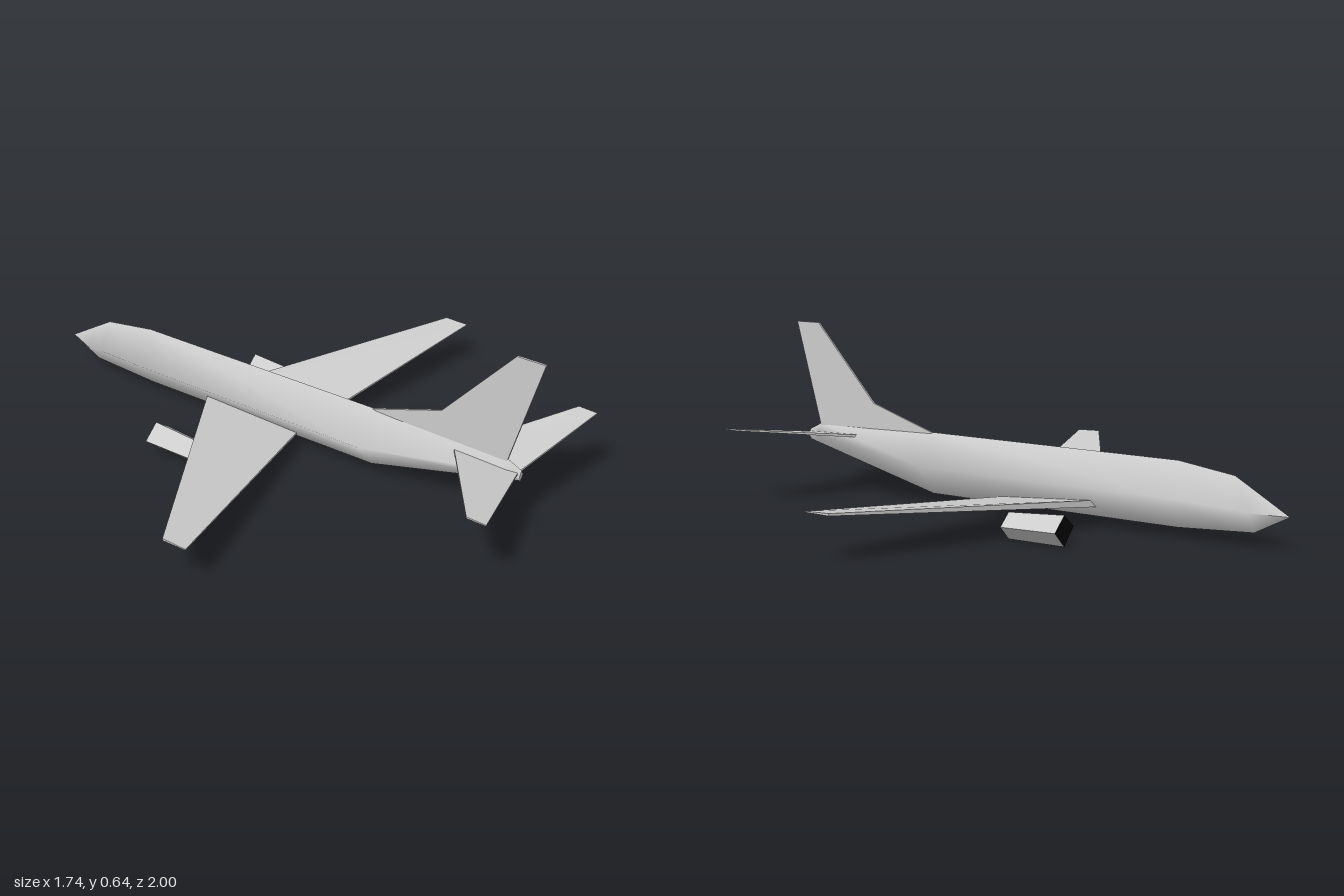
import * as THREE from 'three';

const grey = new THREE.MeshStandardMaterial({ color: 0xcccccc });
const facet = new THREE.MeshStandardMaterial({ color: 0xcccccc, flatShading: true });
const black = new THREE.MeshStandardMaterial({ color: 0x060606 });

// Skins a list of rings (counter-clockwise about the direction of travel), with optional end caps
function loft(rings, { smooth = false, caps = true } = {}) {
  const n = rings[0].length, pos = rings.flat(2), index = [];
  for (let i = 0; i < rings.length - 1; i++) {
    for (let j = 0; j < n; j++) {
      const a = i * n + j, b = i * n + (j + 1) % n;
      index.push(a, b, b + n, a, b + n, a + n);
    }
  }
  if (caps) {
    [[...rings[0]].reverse(), rings[rings.length - 1]].forEach((ring) => {
      const s = pos.length / 3;
      pos.push(...ring.flat());
      for (let j = 1; j < n - 1; j++) index.push(s, s + j, s + j + 1);
    });
  }
  let g = new THREE.BufferGeometry();
  g.setAttribute('position', new THREE.Float32BufferAttribute(pos, 3));
  g.setIndex(index);
  if (!smooth) g = g.toNonIndexed();
  g.computeVertexNormals();
  return g;
}

// Tapered plate across x; each section: [x, zLead, yLeadTop, yLeadBottom, zTrail, yTrailTop, yTrailBottom]
function plate(sections, side) {
  const rings = sections.map(([x, zl, lt, lb, zt, tt, tb]) => [
    [side * x, lt, zl], [side * x, tt, zt], [side * x, tb, zt], [side * x, lb, zl],
  ]);
  return loft(side > 0 ? rings : rings.reverse());
}

export function createModel() {
  const model = new THREE.Group();
  model.name = 'airliner';
  const add = (name, geometry, material) => {
    const mesh = new THREE.Mesh(geometry, material);
    mesh.name = name;
    model.add(mesh);
    return mesh;
  };

  // Fuselage: diamond sections, creased along top and bottom by doubled points
  const stations = [ // z, top, middle, bottom, half width
    [-1, 0.12, 0.12, 0.12, 0],
    [-0.88, 0.193, 0.13, 0.055, 0.055],
    [-0.81, 0.235, 0.14, 0.051, 0.065],
    [-0.61, 0.265, 0.155, 0.04, 0.09],
    [0.36, 0.27, 0.158, 0.046, 0.09],
    [0.87, 0.26, 0.22, 0.182, 0.022],
    [0.92, 0.235, 0.215, 0.195, 0.013],
  ];
  add('fuselage', loft(stations.map(([z, t, m, b, w]) => [
    [0, b, z], [w, m, z], [0, t, z], [0, t, z], [-w, m, z], [0, b, z],
  ]), { smooth: true }), grey);

  // Fin with its forward fillet
  const fin = new THREE.Shape([[0.36, 0.268], [0.62, 0.355], [0.87, 0.64], [0.97, 0.64], [0.87, 0.262], [0.86, 0.23], [0.5, 0.23]]
    .map(([z, y]) => new THREE.Vector2(-z, y)));
  const finGeometry = new THREE.ExtrudeGeometry(fin, { depth: 0.008, bevelEnabled: false });
  finGeometry.translate(0, 0, -0.004).rotateY(Math.PI / 2);
  add('fin', finGeometry, facet);

  for (const side of [1, -1]) {
    const label = side > 0 ? 'left' : 'right';
    add(label + 'Wing', plate([
      [0.02, -0.33, 0.104, 0.08, 0.06, 0.072, 0.064],
      [0.87, 0.15, 0.167, 0.159, 0.24, 0.164, 0.16],
    ], side), facet);
    add(label + 'Tailplane', plate([
      [0.005, 0.675, 0.233, 0.222, 0.91, 0.226, 0.219],
      [0.385, 0.93, 0.286, 0.28, 0.998, 0.283, 0.279],
    ], side), facet);

    // Four-sided engine pod, slightly narrower at the back, with dark ends
    const ring = (z, w, top, mid, bottom) => [
      [0.295 * side, bottom, z], [0.295 * side + w, mid, z],
      [0.295 * side, top, z], [0.295 * side - w, mid, z],
    ];
    const front = ring(-0.35, 0.061, 0.108, 0.06, 0.003);
    const back = ring(-0.14, 0.052, 0.094, 0.053, 0.003);
    add(label + 'Engine', loft([front, back], { caps: false }), facet);
    const ends = loft([front, back]).toNonIndexed();
    // keep only the two end faces (last four triangles)
    const endPositions = ends.attributes.position.array.slice(-36);
    const endGeometry = new THREE.BufferGeometry();
    endGeometry.setAttribute('position', new THREE.BufferAttribute(endPositions, 3));
    endGeometry.computeVertexNormals();
    add(label + 'EngineOpenings', endGeometry, black);
  }
  return model;
}
